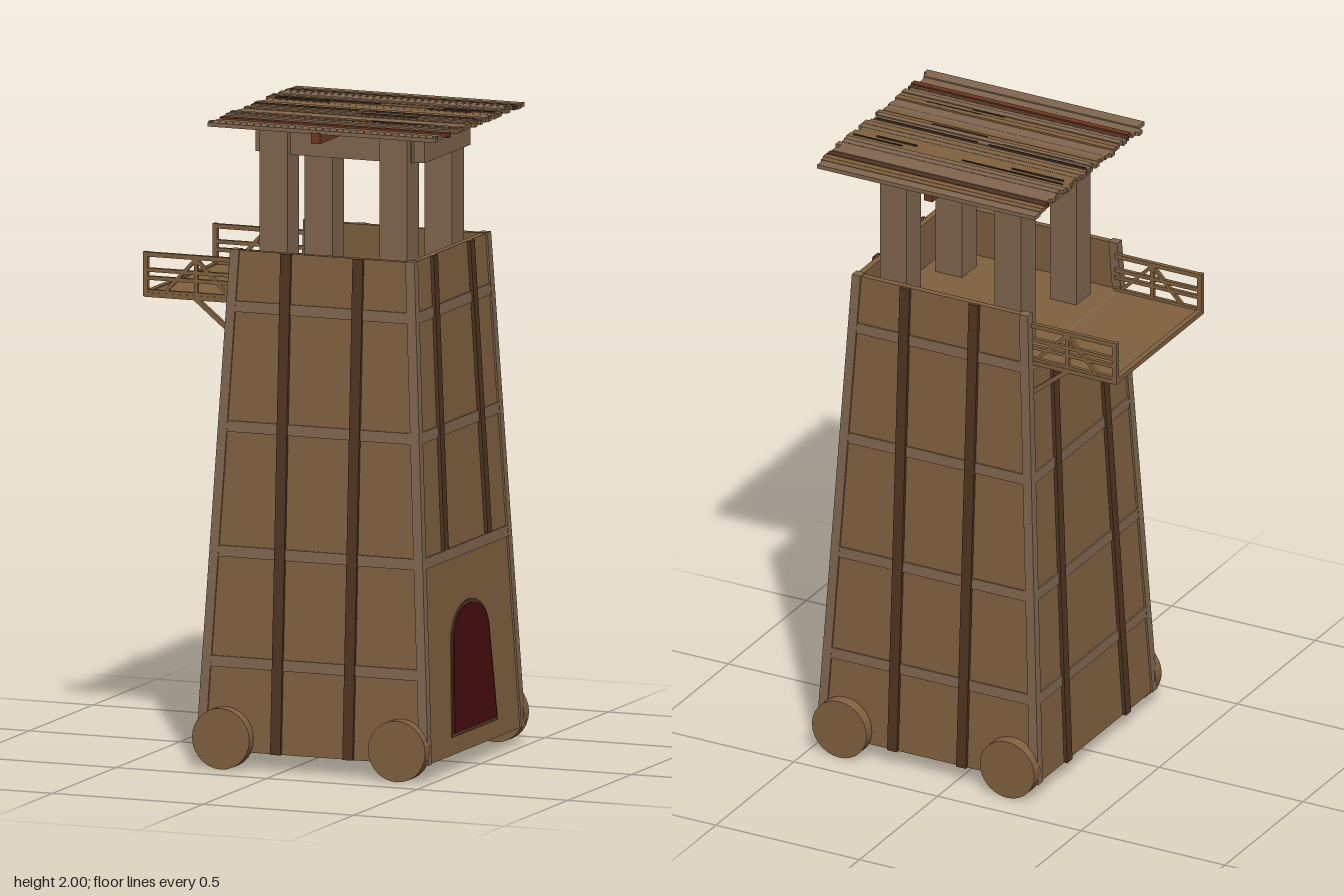
import * as THREE from 'three';

const mat = (name, color) => {
  const m = new THREE.MeshStandardMaterial({ color, flatShading: true });
  m.name = name;
  return m;
};

export function createModel() {
  const wood = mat('tan wood', 0x80613f);
  const grey = mat('weathered wood', 0x80664f);
  const brown = mat('dark wood', 0x4f3421);
  const russet = mat('russet wood', 0x6e3820);
  const red = mat('red door', 0x480c0e);
  const dark = mat('gap', 0x3a2c1e);

  const model = new THREE.Group();
  const BASE = 0.055, TOP = 1.597, FLOOR = 1.44, CX = 0.1;
  const taper = y => 0.08 * (y - BASE) / (TOP - BASE);
  const hx = y => 0.38 - taper(y);
  const hz = y => 0.376 - taper(y);

  const add = (name, geo, m, parent = model) => {
    const mesh = new THREE.Mesh(geo, m);
    mesh.name = name;
    parent.add(mesh);
    return mesh;
  };
  // box given by its limits
  const box = (name, m, x0, x1, y0, y1, z0, z1, parent) => {
    const b = add(name, new THREE.BoxGeometry(x1 - x0, y1 - y0, z1 - z0), m, parent);
    b.position.set((x0 + x1) / 2, (y0 + y1) / 2, (z0 + z1) / 2);
    return b;
  };
  // box whose corners (sides 0 or 1) are placed by a rule
  const hex = (name, m, place, parent) => {
    const g = new THREE.BoxGeometry(1, 1, 1), p = g.attributes.position;
    for (let i = 0; i < p.count; i++)
      p.setXYZ(i, ...place(p.getX(i) + 0.5, p.getY(i) + 0.5, p.getZ(i) + 0.5));
    g.computeVertexNormals();
    return add(name, g, m, parent);
  };
  // thin bar between two points in a plane of constant z
  const bar = (name, m, x0, y0, x1, y1, z, t, parent) => {
    const b = add(name, new THREE.BoxGeometry(Math.hypot(x1 - x0, y1 - y0), t, t), m, parent);
    b.position.set((x0 + x1) / 2, (y0 + y1) / 2, z);
    b.rotation.z = Math.atan2(y1 - y0, x1 - x0);
    return b;
  };

  // tapered tower, closed at floor level
  hex('towerBody', wood, (a, b, c) => {
    const y = BASE + b * (FLOOR - BASE);
    return [CX + (2 * a - 1) * hx(y), y, (2 * c - 1) * hz(y)];
  });

  // the four sides: front, +x, back, -x
  const names = ['front', 'left', 'back', 'right'];
  for (let k = 0; k < 4; k++) {
    const side = new THREE.Group();
    side.name = names[k] + 'Side';
    side.position.x = CX;
    side.rotation.y = k * Math.PI / 2;
    model.add(side);
    const depth = k % 2 ? hx : hz, width = k % 2 ? hz : hx;
    const slab = (name, m, y0, y1, u0, u1, d0, d1) => hex(name, m, (a, b, c) => {
      const y = y0 + b * (y1 - y0);
      return [u0(y) + a * (u1(y) - u0(y)), y, depth(y) + d0 + c * (d1 - d0)];
    }, side);

    // parapet, left open towards the balcony
    if (k !== 3) slab('parapet', wood, FLOOR, TOP, y => -width(y), width, -0.02, 0);

    // horizontal bands
    for (const y of [0.33, 0.67, 1.055, 1.425]) {
      if (k === 1 && y < 0.5) continue;
      slab('band', grey, y - 0.017, y + 0.017, v => -width(v), width, -0.005, 0.005);
    }

    // vertical battens
    for (const s of [-1, 1]) {
      const u = y => s * (k % 2 ? 0.188 - 0.55 * taper(y) : 0.12);
      slab('batten', brown, k === 1 ? 0.69 : BASE, k === 3 ? FLOOR - 0.02 : TOP,
        y => u(y) - 0.017, y => u(y) + 0.017, -0.005, 0.011);
    }
  }

  // corner posts
  for (const sx of [-1, 1]) for (const sz of [-1, 1])
    hex('cornerPost', grey, (a, b, c) => {
      const y = BASE + b * (TOP + 0.003 - BASE);
      return [CX + sx * (hx(y) - 0.009) + (a - 0.5) * 0.03, y,
        sz * (hz(y) - 0.009) + (c - 0.5) * 0.03];
    });

  // arched door with a narrow frame, leaning with the wall
  const doorSide = model.getObjectByName('leftSide');
  const doorway = (name, m, e, out) => {
    const s = new THREE.Shape();
    s.moveTo(-0.172 - e, 0.115 - e);
    s.lineTo(0.172 + e, 0.115 - e);
    s.lineTo(0.142 + e, 0.41);
    s.bezierCurveTo(0.135 + e, 0.47, 0.07, 0.505 + e, 0, 0.505 + e);
    s.bezierCurveTo(-0.07, 0.505 + e, -0.135 - e, 0.47, -0.142 - e, 0.41);
    s.closePath();
    const g = new THREE.ExtrudeGeometry(s, { depth: out, bevelEnabled: false, curveSegments: 8 });
    const p = g.attributes.position;
    for (let i = 0; i < p.count; i++) p.setZ(i, p.getZ(i) + hx(p.getY(i)));
    g.computeVertexNormals();
    add(name, g, m, doorSide);
  };
  doorway('doorFrame', brown, 0.006, 0.004);
  doorway('door', red, -0.006, 0.007);

  // wheels
  for (const x of [-0.192, 0.392]) for (const s of [-1, 1]) {
    const w = add('wheel', new THREE.CylinderGeometry(0.095, 0.095, 0.04, 28), wood);
    w.rotation.x = Math.PI / 2;
    w.position.set(x, 0.097, s * 0.388);
  }

  // balcony with side railings and struts
  const balcony = new THREE.Group();
  balcony.name = 'balcony';
  model.add(balcony);
  box('balconyFloor', wood, -0.5, -0.19, 1.428, 1.442, -0.283, 0.278, balcony);
  box('balconyEdge', wood, -0.505, -0.488, 1.43, 1.446, -0.283, 0.278, balcony);
  for (const z of [-0.275, 0.27]) {
    box('railPost', wood, -0.505, -0.49, 1.43, 1.568, z - 0.008, z + 0.008, balcony);
    box('railPost', wood, -0.337, -0.325, 1.44, 1.56, z - 0.006, z + 0.006, balcony);
    for (const [y, t] of [[1.56, 0.014], [1.512, 0.012], [1.487, 0.012], [1.445, 0.012]])
      bar('rail', wood, -0.5, y, -0.2, y, z, t, balcony);
    bar('railBrace', wood, -0.331, 1.555, -0.435, 1.445, z, 0.011, balcony);
    bar('railBrace', wood, -0.331, 1.555, -0.22, 1.445, z, 0.011, balcony);
    bar('strut', wood, -0.335, 1.435, -0.205, 1.33, z, 0.014, balcony);
  }

  // roof pillars and their tie beams
  const px = [-0.098, 0.3], pz = [-0.184, 0.17];
  for (const x of px) for (const z of pz)
    box('pillar', grey, x - 0.046, x + 0.046, FLOOR, 1.985, z - 0.046, z + 0.046);
  for (const z of pz) box('crossBeam', grey, -0.15, 0.35, 1.885, 1.955, z - 0.02, z + 0.02);
  box('sideBeam', grey, 0.335, 0.385, 1.885, 1.955, -0.19, 0.17);
  box('sideBeam', grey, -0.177, -0.13, 1.885, 1.955, -0.19, 0.17);
  box('ridgeBeam', russet, 0.083, 0.113, 1.955, 1.988, -0.38, 0.35);

  // roof of narrow boards with uneven ends
  const roof = new THREE.Group();
  roof.name = 'roof';
  model.add(roof);
  let seed = 7;
  const rnd = () => (seed = (seed * 16807) % 2147483647) / 2147483647;
  const boards = [[-0.35, grey], [-0.31, wood], [-0.286, brown], [-0.175, grey], [-0.093, wood],
    [-0.072, grey], [-0.047, wood], [0.015, grey], [0.06, wood], [0.128, grey], [0.172, wood],
    [0.217, grey], [0.237, brown], [0.257, russet], [0.347, grey]];
  let z0 = -0.385;
  for (const [z1, m] of boards) {
    const n = Math.max(1, Math.round((z1 - z0) / 0.024)), w = (z1 - z0) / n;
    for (let i = 0; i < n; i++) {
      const z = z0 + i * w, top = 1.992 + 0.008 * rnd();
      box('roofBoard', m, -0.258 - 0.02 * rnd(), 0.475 + 0.022 * rnd(),
        top - 0.013, top, z, z + w, roof);
    }
    z0 = z1;
  }
  // narrow cracks between boards
  for (const [x0, x1, z] of [[-0.25, 0.1, -0.157], [0.31, 0.48, -0.157], [-0.24, -0.06, -0.134],
    [0.27, 0.41, -0.134], [-0.26, 0.08, -0.025], [0.12, 0.47, -0.025], [-0.2, 0.04, -0.003],
    [0.11, 0.3, 0.02], [0.2, 0.39, 0.148], [0.13, 0.24, 0.169]])
    box('roofCrack', dark, x0, x1, 1.993, 2, z - 0.002, z + 0.002, roof);

  return model;
}
